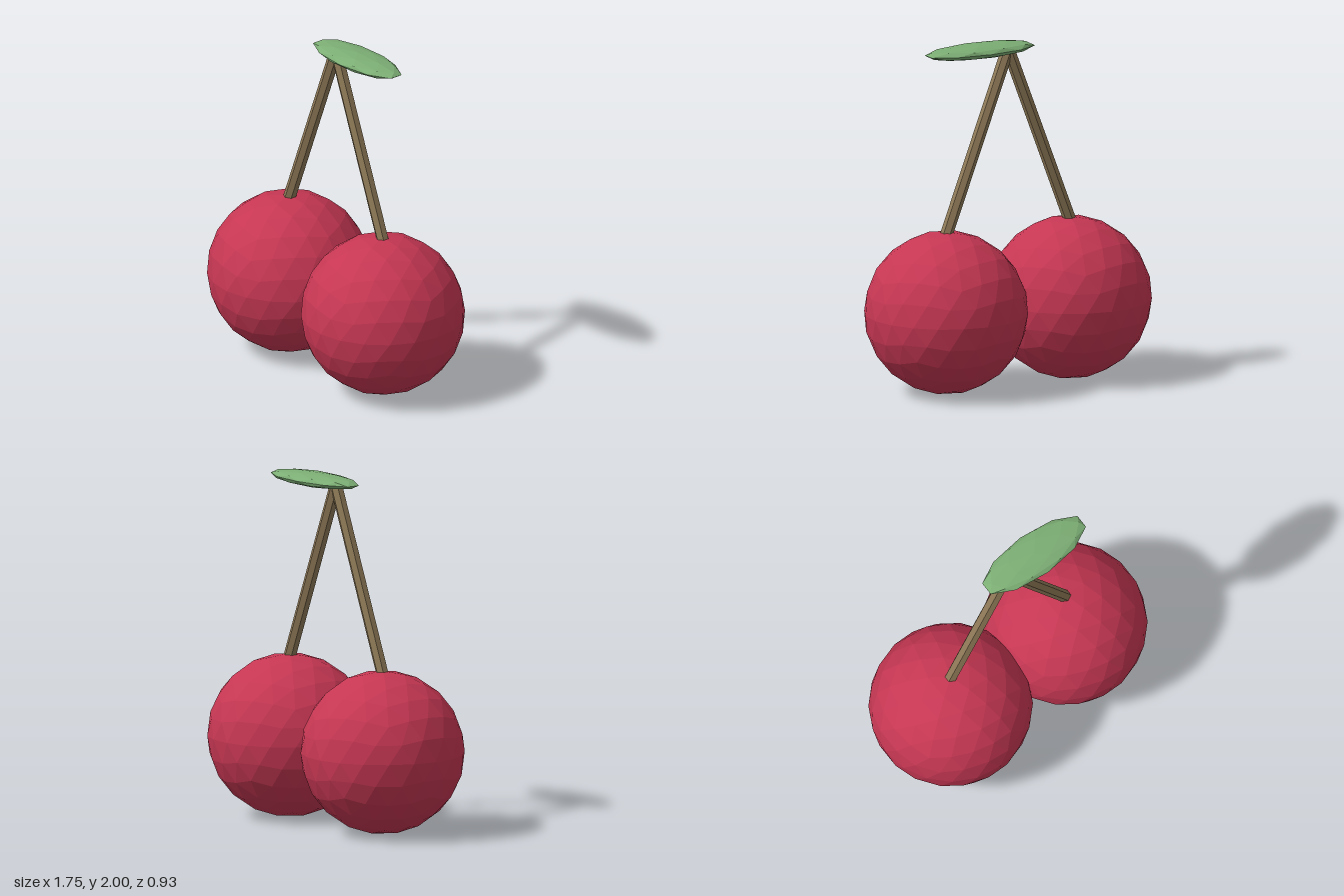
import * as THREE from 'three';

const mat = (name, color) => {
  const m = new THREE.MeshStandardMaterial({ color });
  m.name = name;
  return m;
};

// Faceted sphere of radius 1 with a vertex at each pole, each level splitting every face in four
function facetedBall(levels) {
  let geo = new THREE.IcosahedronGeometry(1, 1);
  for (let i = 1; i < levels; i++) {
    const pos = Array.from(geo.attributes.position.array);
    geo = new THREE.PolyhedronGeometry(pos, pos.slice(0, pos.length / 3).map((_, k) => k), 1, 1);
  }
  geo.rotateZ(-Math.atan(2 / (1 + Math.sqrt(5))));
  return geo;
}

// Flat normals for unshared corners
function facet(geo) {
  const flat = geo.index ? geo.toNonIndexed() : geo;
  flat.computeVertexNormals();
  return flat;
}

export function createModel() {
  const group = new THREE.Group();
  group.name = 'cherries';
  const red = mat('cherry red', 0xc63753);
  const brown = mat('stem brown', 0x8f7a58);
  const green = mat('leaf green', 0x7cae74);

  const add = (name, geo, material) => {
    const mesh = new THREE.Mesh(facet(geo), material);
    mesh.name = name;
    group.add(mesh);
    return mesh;
  };

  const R = 0.466, cx = 0.407;
  const top = new THREE.Vector3(0, 1.95, 0);
  for (const [side, s] of [['left', 1], ['right', -1]]) {
    // Fruit
    add(side + 'Cherry', facetedBall(2).scale(R, R, R), red).position.set(s * cx, R, 0);

    // Six-sided stem leaning in to the shared tip
    const foot = new THREE.Vector3(s * cx, 0.91, 0);
    const dir = top.clone().sub(foot);
    const stem = add(side + 'Stem', new THREE.CylinderGeometry(0.036, 0.036, dir.length(), 6), brown);
    stem.position.copy(foot).add(top).multiplyScalar(0.5);
    stem.rotation.z = Math.atan2(-dir.x, dir.y);
  }

  // Flattened leaf, set off to the left of the tip
  add('leaf', facetedBall(1).scale(0.355, 0.041, 0.131), green).position.set(0.185, 1.959, 0);

  return group;
}
